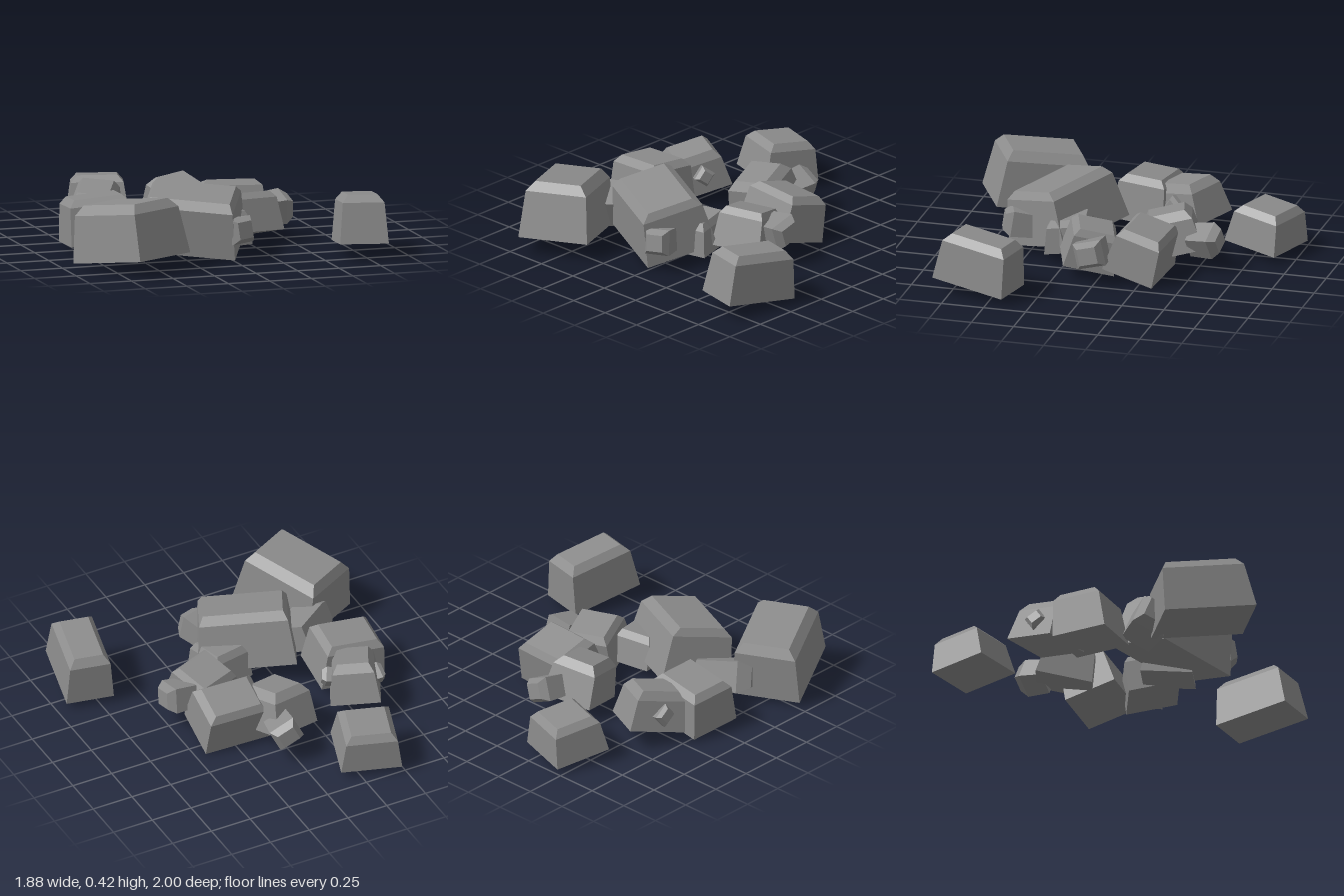
import * as THREE from 'three';

const stone = new THREE.MeshStandardMaterial({ color: 0x8c8c8c });
stone.name = 'grey stone';

// Closed loft through rectangles [height, width, depth], stacked along y
function loft(rings) {
  const pos = [];
  const corner = ([y, w, d], k) => [
    (k === 0 || k === 3 ? -w : w) / 2, y, (k < 2 ? d : -d) / 2];
  const quad = (a, b, c, d) => pos.push(...a, ...b, ...c, ...a, ...c, ...d);
  for (let i = 0; i < rings.length - 1; i++) {
    for (let k = 0; k < 4; k++) {
      const n = (k + 1) % 4;
      quad(corner(rings[i], k), corner(rings[i], n), corner(rings[i + 1], n), corner(rings[i + 1], k));
    }
  }
  const lo = rings[0], hi = rings[rings.length - 1];
  quad(corner(hi, 0), corner(hi, 1), corner(hi, 2), corner(hi, 3));
  quad(corner(lo, 3), corner(lo, 2), corner(lo, 1), corner(lo, 0));
  const g = new THREE.BufferGeometry();
  g.setAttribute('position', new THREE.Float32BufferAttribute(pos, 3));
  g.computeVertexNormals();
  return g;
}

// Place a stone: base centre, axis it grows along, spin about that axis
function place(name, geometry, at, axis, spin) {
  const m = new THREE.Mesh(geometry, stone);
  m.name = name;
  m.position.set(...at);
  const up = new THREE.Vector3(0, 1, 0);
  m.quaternion.setFromUnitVectors(up, new THREE.Vector3(...axis).normalize())
    .multiply(new THREE.Quaternion().setFromAxisAngle(up, spin));
  return m;
}

// Boulders: base centre, slope of the base in x and z, yaw,
// then base, shoulder and top sizes as [height, width, depth]
const boulders = [
  ['frontRightBoulder', [-0.635, 0.08, 0.66], [0.074, 0.128], 0.48,
    [[0, 0.41, 0.54], [0.27, 0.36, 0.48], [0.325, 0.27, 0.41]]],
  ['centreBoulder', [-0.17, 0.087, 0.325], [0.027, -0.222], -0.45,
    [[0, 0.57, 0.43], [0.265, 0.51, 0.365], [0.31, 0.46, 0.27]]],
  ['leftBoulder', [0.76, 0.08, 0.60], [-0.03, 0.125], -0.21,
    [[0, 0.28, 0.45], [0.235, 0.24, 0.4], [0.28, 0.17, 0.32]]],
  ['backBoulder', [-0.36, 0.07, -0.79], [-0.02, 0.118], -0.3,
    [[0, 0.355, 0.34], [0.18, 0.3, 0.29], [0.22, 0.23, 0.22]]],
  ['rightBoulder', [-0.61, 0.06, -0.02], [0.08, 0.08], -0.09,
    [[0, 0.39, 0.32], [0.22, 0.35, 0.28], [0.26, 0.28, 0.21]]],
  ['rearRightBoulder', [-0.54, 0.1, -0.31], [0.03, -0.22], -0.46,
    [[0, 0.29, 0.34], [0.18, 0.24, 0.29], [0.23, 0.18, 0.22]]],
  ['rearCentreBoulder', [-0.02, 0.09, -0.35], [0.05, -0.25], 0.28,
    [[0, 0.31, 0.33], [0.19, 0.27, 0.28], [0.24, 0.19, 0.21]]],
  ['rearLeftBoulder', [0.23, 0.06, -0.2], [-0.04, 0.28], -0.06,
    [[0, 0.4, 0.31], [0.22, 0.36, 0.27], [0.26, 0.28, 0.21]]],
  ['innerLeftBoulder', [0.25, 0.07, 0.1], [0.04, 0.24], 0.34,
    [[0, 0.3, 0.3], [0.19, 0.27, 0.26], [0.23, 0.22, 0.2]]],
  ['innerBoulder', [0.04, 0.07, 0.25], [0, -0.08], 0.2,
    [[0, 0.24, 0.3], [0.15, 0.22, 0.25], [0.19, 0.18, 0.2]]],
];

// Pebbles: base centre, outward axis, spin, width, depth, length
const pebbles = [
  ['frontPebble', [0.0, 0.17, 0.49], [0.3, 0.15, 0.85], 0.4, 0.15, 0.15, 0.17],
  ['leftPebble', [0.35, 0.19, 0.02], [1, 0.08, 0], 0.25, 0.15, 0.17, 0.18],
  ['rearPebble', [0.03, 0.18, -0.46], [0.15, 0.1, -0.95], 0.3, 0.16, 0.14, 0.18],
  ['longPebble', [-0.42, 0.16, 0.22], [-0.8, 0, 0.55], 0.2, 0.18, 0.2, 0.32],
  ['smallInnerPebble', [-0.46, 0.2, -0.26], [0.85, 0.1, 0.4], 0.5, 0.09, 0.09, 0.1],
  ['smallOuterPebble', [-0.62, 0.19, -0.32], [-0.9, 0.2, -0.1], 0.5, 0.09, 0.1, 0.09],
];

export function createModel() {
  const group = new THREE.Group();
  group.name = 'rubble';
  for (const [name, at, [gx, gz], yaw, rings] of boulders) {
    group.add(place(name, loft(rings), at, [-gx, 1, -gz], yaw));
  }
  for (const [name, at, axis, spin, w, d, l] of pebbles) {
    const rings = [[0, w * 0.9, d * 0.9], [l * 0.75, w, d], [l, w * 0.65, d * 0.65]];
    group.add(place(name, loft(rings), at, axis, spin));
  }
  return group;
}
